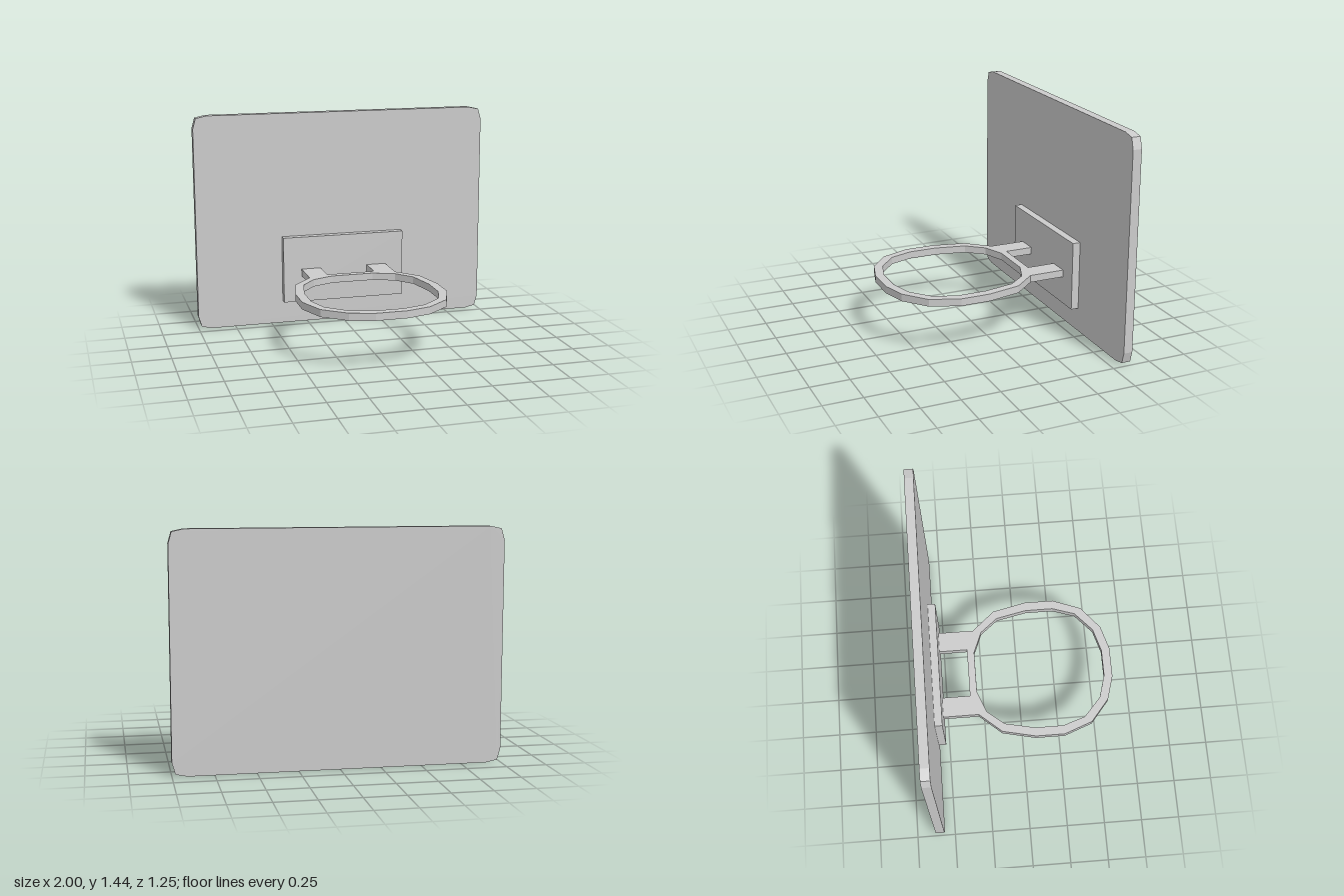
import * as THREE from 'three';

const material = new THREE.MeshStandardMaterial({ color: 0xcccccc, flatShading: true });

// Mirrors a half outline (x >= 0) across x = 0 into a closed loop
const mirrored = (half) => [...half, ...half.map(([x, y]) => [-x, y]).reverse()]
  .map(([x, y]) => new THREE.Vector2(x, y));

function addMesh(group, name, geometry) {
  const mesh = new THREE.Mesh(geometry, material);
  mesh.name = name;
  group.add(mesh);
  return mesh;
}

export function createModel() {
  const group = new THREE.Group();
  group.name = 'basketballHoop';

  // Backboard with chamfered corners
  const boardShape = new THREE.Shape(mirrored([
    [0.91, 0], [0.98, 0.015], [1, 0.085], [1, 1.358], [0.98, 1.428], [0.91, 1.443],
  ]));
  const board = addMesh(group, 'backboard',
    new THREE.ExtrudeGeometry(boardShape, { depth: 0.058, bevelEnabled: false }));
  board.position.z = -0.626;

  // Mounting plate on the front of the board
  const plate = addMesh(group, 'mountingPlate', new THREE.BoxGeometry(0.84, 0.45, 0.05));
  plate.position.set(0, 0.38, -0.543);

  // Rim and its two arms, drawn in plan (shape y = -z) and extruded upward
  const rimShape = new THREE.Shape(mirrored([
    [0.1, -0.621], [0.255, -0.576], [0.402, -0.455], [0.472, -0.27], [0.472, -0.08],
    [0.423, 0.138], [0.296, 0.284], [0.296, 0.52], [0.163, 0.52], [0.163, 0.333],
  ]));
  rimShape.holes.push(new THREE.Path(mirrored([
    [0.088, -0.566], [0.24, -0.522], [0.365, -0.411], [0.414, -0.264], [0.414, -0.08],
    [0.372, 0.118], [0.28, 0.23], [0.14, 0.286],
  ])));
  const rim = addMesh(group, 'rimAndArms',
    new THREE.ExtrudeGeometry(rimShape, { depth: 0.047, bevelEnabled: false })
      .rotateX(-Math.PI / 2));
  rim.position.y = 0.335;

  return group;
}
